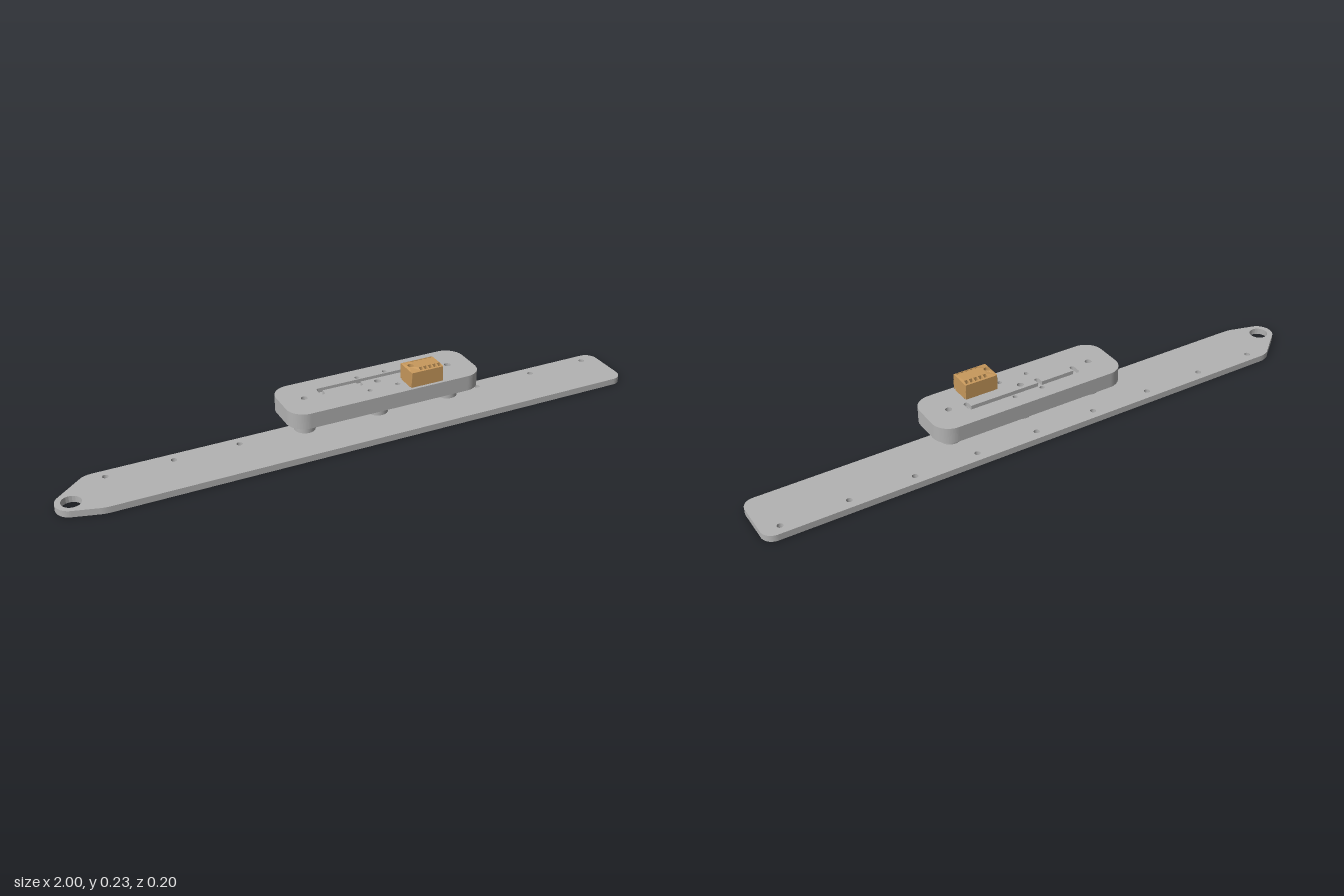
import * as THREE from 'three';

const grey = new THREE.MeshStandardMaterial({ color: 0xb3b3b3 });
grey.name = 'grey metal';
const tan = new THREE.MeshStandardMaterial({ color: 0xc8995c });
tan.name = 'tan plastic';

// Plan shapes use (x, z); the slab fills y0..y1
function slab(shape, y0, y1) {
  const g = new THREE.ExtrudeGeometry(shape, { depth: y1 - y0, bevelEnabled: false, curveSegments: 10 });
  return g.rotateX(Math.PI / 2).translate(0, y1, 0);
}

function add(group, name, geometry, material) {
  const m = new THREE.Mesh(geometry, material);
  m.name = name;
  group.add(m);
  return m;
}

function drill(shape, x, z, r) {
  const p = new THREE.Path();
  p.absarc(x, z, r, 0, Math.PI * 2, true);
  shape.holes.push(p);
}

function roundedRect(x0, z0, x1, z1, r) {
  const s = new THREE.Shape();
  s.absarc(x1 - r, z0 + r, r, -Math.PI / 2, 0);
  s.absarc(x1 - r, z1 - r, r, 0, Math.PI / 2);
  s.absarc(x0 + r, z1 - r, r, Math.PI / 2, Math.PI);
  s.absarc(x0 + r, z0 + r, r, Math.PI, Math.PI * 1.5);
  s.closePath();
  return s;
}

function rectHole(shape, x, z, w, d) {
  const a = w / 2, b = d / 2;
  shape.holes.push(new THREE.Path([[-a, -b], [-a, b], [a, b], [a, -b]]
    .map(([u, v]) => new THREE.Vector2(x + u, z + v))));
}

// Long bar, tapering to a rounded eyelet at its right end
function barShape() {
  const s = new THREE.Shape();
  s.moveTo(-0.85, -0.1);
  s.lineTo(0.96, -0.1);
  s.absarc(0.96, -0.06, 0.04, -Math.PI / 2, 0);
  s.absarc(0.96, 0.06, 0.04, 0, Math.PI / 2);
  s.lineTo(-0.85, 0.1);
  s.quadraticCurveTo(-0.87, 0.1, -0.885, 0.095);
  s.absarc(-0.95, 0.025, 0.05, 1.85, 4.05);
  s.lineTo(-0.89, -0.09);
  s.quadraticCurveTo(-0.875, -0.1, -0.85, -0.1);
  drill(s, -0.95, 0.025, 0.032);
  for (let i = 0; i < 9; i++) drill(s, -0.82 + i * 0.22, -0.065, 0.01);
  return s;
}

function carriageShape(r) {
  const s = roundedRect(-0.26, -0.1, 0.42, 0.1, r);
  for (const x of [-0.18, 0.08, 0.34]) drill(s, x, 0, 0.011);
  for (const x of [0.03, 0.13]) for (const z of [-0.05, 0.046]) drill(s, x, z, 0.008);
  return s;
}

// Wiring channel with three arms, each ending over a round hole
function channel() {
  const p = new THREE.Path();
  const w = 0.008, back = -0.038, front = -0.021, arms = [-0.115, 0.02, 0.28];
  p.moveTo(arms[0] - w, back + 0.006);
  for (const x of arms) {
    if (x !== arms[0]) p.lineTo(x - w, front);
    p.lineTo(x - w, -0.004);
    p.absarc(x, -0.004, w, Math.PI, 0, true);
    if (x !== arms[2]) p.lineTo(x + w, front);
  }
  p.lineTo(arms[2] + w, back + 0.006);
  p.lineTo(arms[2] + w - 0.006, back);
  p.lineTo(arms[0] - w + 0.006, back);
  p.closePath();
  return p;
}

export function createModel() {
  const model = new THREE.Group();
  model.name = 'slidingCarriageAssembly';

  add(model, 'bar', slab(barShape(), 0, 0.022), grey);

  // Carriage plate: drilled base with the channel cut into the top layer
  const carriage = new THREE.Group();
  carriage.name = 'carriage';
  model.add(carriage);
  const base = carriageShape(0.06);
  for (const x of [-0.115, 0.02, 0.28]) drill(base, x, -0.004, 0.007);
  add(carriage, 'carriageBase', slab(base, 0.12, 0.158), grey);
  const top = carriageShape(0.06);
  top.holes.push(channel());
  add(carriage, 'carriageTop', slab(top, 0.158, 0.173), grey);

  // Flanged posts beneath the carriage
  const post = [[0, 0.064], [0.035, 0.064], [0.035, 0.064], [0.035, 0.112], [0.035, 0.112],
    [0.046, 0.112], [0.046, 0.112], [0.046, 0.12], [0.046, 0.12], [0, 0.12]];
  const postGeometry = new THREE.LatheGeometry(post.map(([r, y]) => new THREE.Vector2(r, y)), 32);
  for (const x of [-0.18, 0.08, 0.34]) {
    add(carriage, 'post', postGeometry, grey).position.x = x;
  }

  // Connector block: socketed upper body, solid lower body and feet
  const connector = new THREE.Group();
  connector.name = 'connector';
  connector.position.set(0.2125, 0, 0.054);
  model.add(connector);
  const shell = roundedRect(-0.0575, -0.039, 0.0575, 0.039, 0.002);
  for (let i = 0; i < 5; i++) {
    for (const z of [-0.028, 0.028]) rectHole(shell, -0.019 + i * 0.0165, z, 0.011, 0.012);
  }
  drill(shell, -0.042, 0, 0.01);
  const upper = slab(shell, 0.205, 0.234);
  const p = upper.attributes.position;
  for (let i = 0; i < p.count; i++) {
    // slope the long top edges
    if (p.getY(i) > 0.23) p.setY(i, 0.234 - Math.max(0, Math.abs(p.getZ(i)) - 0.022) * 0.4);
  }
  upper.computeVertexNormals();
  add(connector, 'connectorSockets', upper, tan);
  add(connector, 'connectorBody', new THREE.BoxGeometry(0.115, 0.026, 0.078).translate(0, 0.192, 0), tan);
  add(connector, 'connectorFoot', new THREE.BoxGeometry(0.115, 0.006, 0.06).translate(0, 0.176, 0), tan);
  for (const side of [-1, 1]) {
    add(connector, 'connectorEdgeFoot', new THREE.BoxGeometry(0.115, 0.004, 0.005).translate(0, 0.177, side * 0.0365), tan);
  }
  return model;
}
